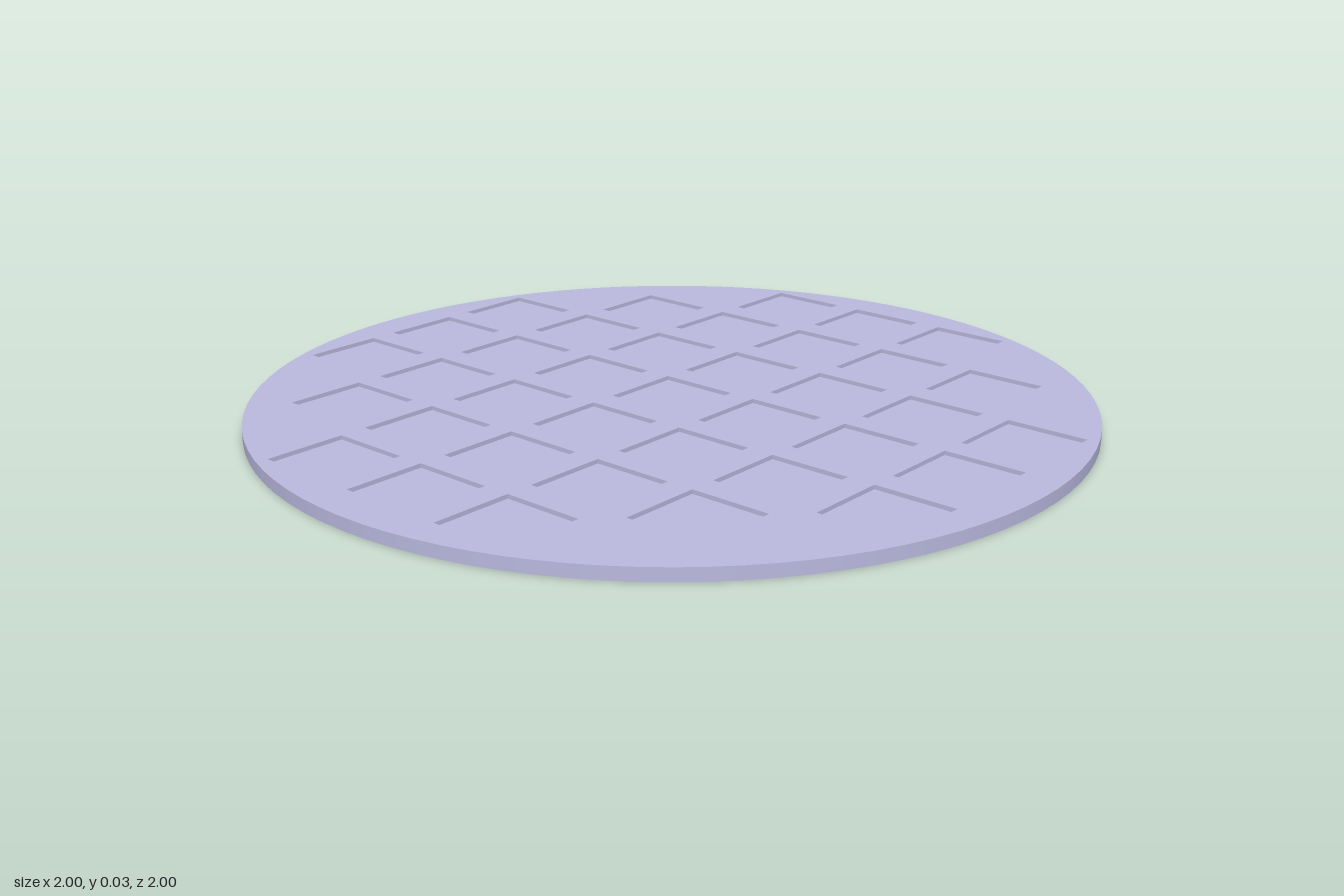
import * as THREE from 'three';
import { mergeGeometries } from 'three/addons/utils/BufferGeometryUtils.js';

const SEGMENTS = 96;   // sides of the disc
const HEIGHT = 0.03;   // disc thickness
const PITCH = 0.267;   // spacing of the pockets
const SIZE = 0.2;      // pocket width
const DEPTH = 0.01;    // pocket depth

// Grid positions whose whole square fits inside the rim
function pocketCentres() {
  const centres = [];
  for (let i = -3; i <= 3; i++) {
    for (let j = -3; j <= 3; j++) {
      const x = i * PITCH, z = j * PITCH;
      if (Math.hypot(Math.abs(x) + SIZE / 2, Math.abs(z) + SIZE / 2) < 1) centres.push([x, z]);
    }
  }
  return centres;
}

// Inside of one square pocket: a floor and four inward-facing walls
function pocketGeometry() {
  const floor = new THREE.PlaneGeometry(SIZE, SIZE).rotateX(-Math.PI / 2).translate(0, HEIGHT - DEPTH, 0);
  const parts = [floor];
  for (let k = 0; k < 4; k++) {
    parts.push(new THREE.PlaneGeometry(SIZE, DEPTH)
      .translate(0, HEIGHT - DEPTH / 2, -SIZE / 2)
      .rotateY(k * Math.PI / 2));
  }
  return mergeGeometries(parts);
}

export function createModel() {
  const group = new THREE.Group();
  group.name = 'pocketedDisc';
  const material = new THREE.MeshStandardMaterial({ color: 0xb9b8de });
  const centres = pocketCentres();

  const add = (name, geometry) => {
    const mesh = new THREE.Mesh(geometry, material);
    mesh.name = name;
    group.add(mesh);
    return mesh;
  };

  // Smooth rim and flat underside
  add('rim', new THREE.CylinderGeometry(1, 1, HEIGHT, SEGMENTS, 1, true).translate(0, HEIGHT / 2, 0));
  add('underside', new THREE.CircleGeometry(1, SEGMENTS).rotateX(Math.PI / 2));

  // Top face with a square opening over each pocket
  const outline = [];
  for (let i = 0; i < SEGMENTS; i++) {
    const a = (i / SEGMENTS) * Math.PI * 2;
    outline.push(new THREE.Vector2(Math.cos(a), Math.sin(a)));
  }
  const top = new THREE.Shape(outline);
  const h = SIZE / 2;
  for (const [x, z] of centres) {
    top.holes.push(new THREE.Path([[-h, -h], [-h, h], [h, h], [h, -h]]
      .map(([dx, dz]) => new THREE.Vector2(x + dx, dz - z))));
  }
  add('topFace', new THREE.ShapeGeometry(top).rotateX(-Math.PI / 2).translate(0, HEIGHT, 0));

  // Shallow pockets
  const pocket = pocketGeometry();
  for (const [x, z] of centres) add('pocket', pocket).position.set(x, 0, z);

  return group;
}
